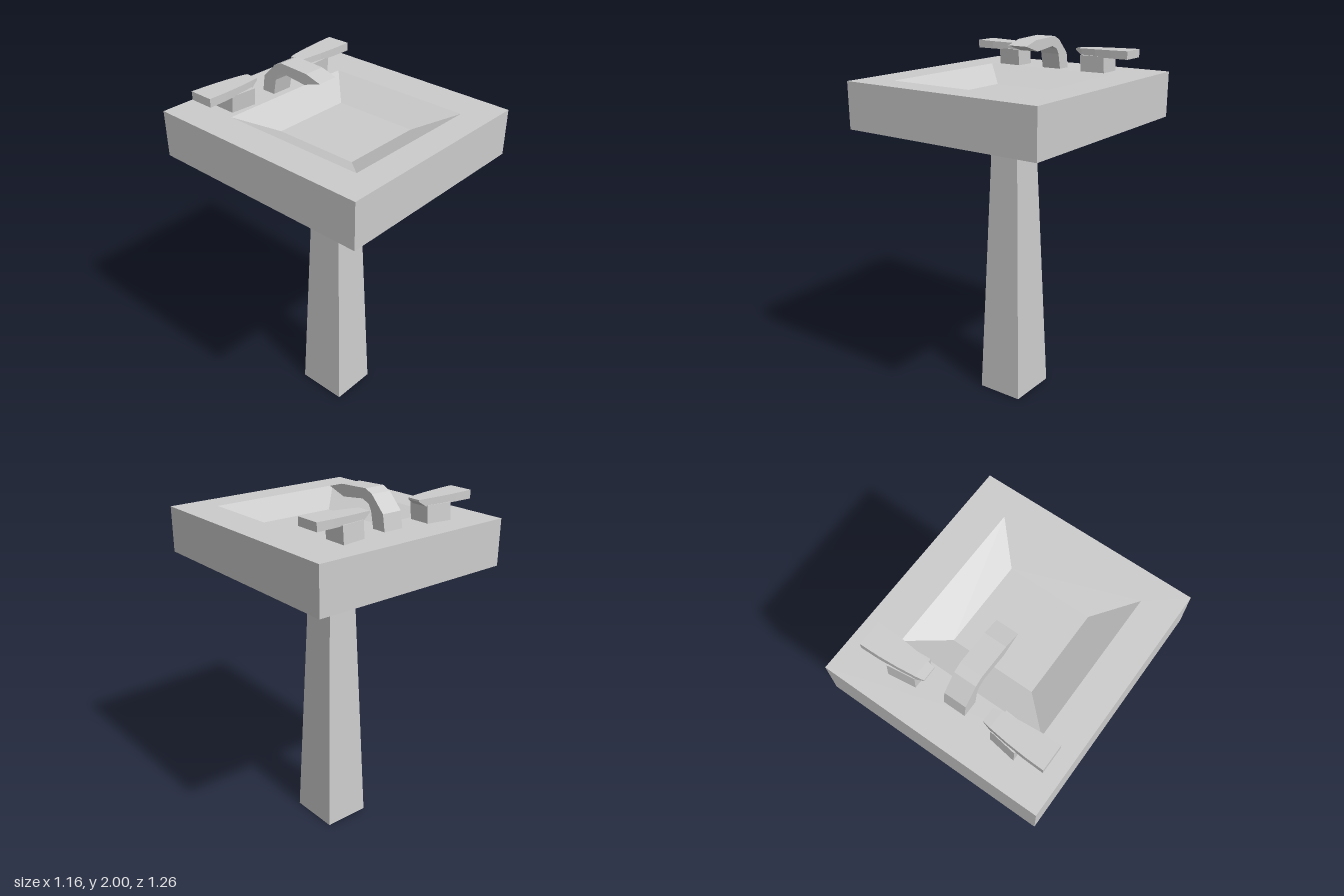
import * as THREE from 'three';

const material = new THREE.MeshStandardMaterial({ color: 0xcccccc, flatShading: true });

// Rectangle at height y, counter-clockwise seen from above
const rect = (y, x0, x1, z0, z1) => [[x0, y, z1], [x1, y, z1], [x1, y, z0], [x0, y, z0]];

// Skin four-cornered rings one after another and cap both ends
function loft(name, rings) {
  const pos = [];
  const quad = (a, b, c, d) => pos.push(...a, ...b, ...c, ...a, ...c, ...d);
  for (let i = 0; i < rings.length - 1; i++) {
    for (let j = 0; j < 4; j++) {
      const k = (j + 1) % 4;
      quad(rings[i][j], rings[i][k], rings[i + 1][k], rings[i + 1][j]);
    }
  }
  quad(...[...rings[0]].reverse());
  quad(...rings[rings.length - 1]);
  const geo = new THREE.BufferGeometry();
  geo.setAttribute('position', new THREE.Float32BufferAttribute(pos, 3));
  geo.computeVertexNormals();
  const mesh = new THREE.Mesh(geo, material);
  mesh.name = name;
  return mesh;
}

// Tap handle: slanted stem under a tapering lever, side is +1 or -1
function tapHandle(side) {
  const group = new THREE.Group();
  group.name = side > 0 ? 'leftHandle' : 'rightHandle';

  const stemRing = (y, dz) => {
    const ring = [[0.205, -0.353], [0.345, -0.363], [0.345, -0.49], [0.205, -0.47]]
      .map(([x, z]) => [x * side, y, z + dz]);
    return side > 0 ? ring : ring.reverse();
  };
  group.add(loft('handleStem', [stemRing(1.815, 0), stemRing(1.905, 0.008)]));

  // Sections: x, half width, bottom, top
  const sections = [
    [0.158, 0.037, 1.927, 1.936],
    [0.2, 0.045, 1.9, 1.938],
    [0.29, 0.056, 1.9, 1.94],
    [0.39, 0.064, 1.9, 1.942],
    [0.49, 0.067, 1.9, 1.944],
  ].map(([x, w, y0, y1]) => [
    [x * side, y0, -0.413 + w], [x * side, y0, -0.413 - w],
    [x * side, y1, -0.413 - w], [x * side, y1, -0.413 + w],
  ]);
  group.add(loft('handleLever', side > 0 ? sections : sections.reverse()));
  group.position.x = -0.017;
  return group;
}

// Spout: side profile (z, y) extruded across x
function spout() {
  const profile = [
    [-0.45, 1.815], [-0.435, 1.9], [-0.39, 1.945], [-0.355, 1.98], [-0.31, 2], [-0.135, 1.992],
    [-0.045, 1.966], [-0.15, 1.932], [-0.29, 1.948], [-0.335, 1.93], [-0.352, 1.9], [-0.37, 1.815],
  ].map(([z, y]) => new THREE.Vector2(z, y));
  const geo = new THREE.ExtrudeGeometry(new THREE.Shape(profile), { depth: 0.115, bevelEnabled: false });
  geo.rotateY(-Math.PI / 2);
  geo.translate(0.045, 0, 0);
  const mesh = new THREE.Mesh(geo, material);
  mesh.name = 'spout';
  return mesh;
}

export function createModel() {
  const model = new THREE.Group();
  model.name = 'pedestalSink';

  // Tapered square column
  model.add(loft('pedestal', [
    rect(0, -0.133, 0.133, -0.145, 0.145),
    rect(1.575, -0.08, 0.08, -0.085, 0.085),
  ]));

  // Slab with a sunken bowl
  model.add(loft('basin', [
    rect(1.57, -0.58, 0.58, -0.63, 0.63),
    rect(1.817, -0.58, 0.58, -0.63, 0.63),
    rect(1.817, -0.4, 0.383, -0.33, 0.48),
    rect(1.735, -0.23, 0.215, -0.16, 0.305),
  ]));

  model.add(spout(), tapHandle(1), tapHandle(-1));
  return model;
}
